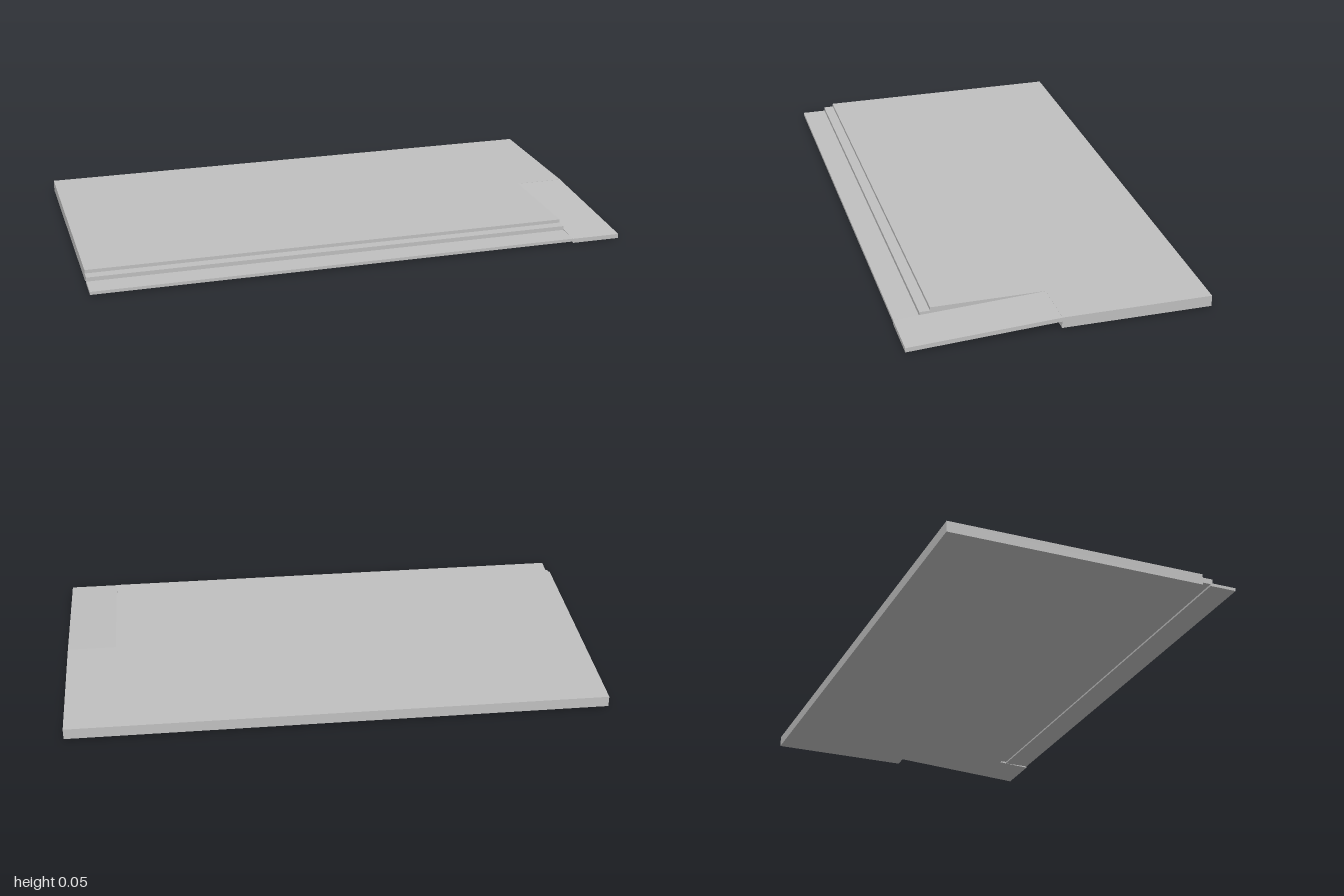
import * as THREE from 'three';

const RAMP_X = 0.815; // inner edge of the ramp bay

export function createModel() {
  const group = new THREE.Group();
  const grey = new THREE.MeshStandardMaterial({ color: 0xc0c0c0 });
  grey.name = 'light grey';

  const add = (name, geometry) => {
    const mesh = new THREE.Mesh(geometry, grey);
    mesh.name = name;
    group.add(mesh);
  };
  const shapeOf = (points) => new THREE.Shape(points.map(([a, b]) => new THREE.Vector2(a, b)));
  const extrude = (points, depth) =>
    new THREE.ExtrudeGeometry(shapeOf(points), { depth, bevelEnabled: false });

  // L-shaped platform, drawn in plan as (x, -z), notched where the ramp sits
  const platform = extrude([
    [-1, -0.415], [RAMP_X, -0.415], [RAMP_X, 0], [1, 0], [1, 0.545], [-1, 0.545],
  ], 0.041);
  platform.rotateX(-Math.PI / 2).translate(0, 0.005, 0);
  add('platform', platform);

  // Two shallow steps along the front: [name, bottom, top, back, front]
  for (const [name, y0, y1, z0, z1] of [
    ['upperStep', 0.013, 0.033, 0.41, 0.453],
    ['lowerStep', 0.006, 0.0175, 0.445, 0.545],
  ]) {
    const step = new THREE.BoxGeometry(RAMP_X + 1, y1 - y0, z1 - z0);
    step.translate((RAMP_X - 1) / 2, (y0 + y1) / 2, (z0 + z1) / 2);
    add(name, step);
  }

  // Sloping ramp slab, drawn in profile as (-z, y), open underneath
  const ramp = extrude([[-0.545, 0], [0, 0.03], [0, 0.0455], [-0.545, 0.0165]], 1 - RAMP_X);
  ramp.rotateY(Math.PI / 2).translate(RAMP_X, 0, 0);
  add('ramp', ramp);

  return group;
}
